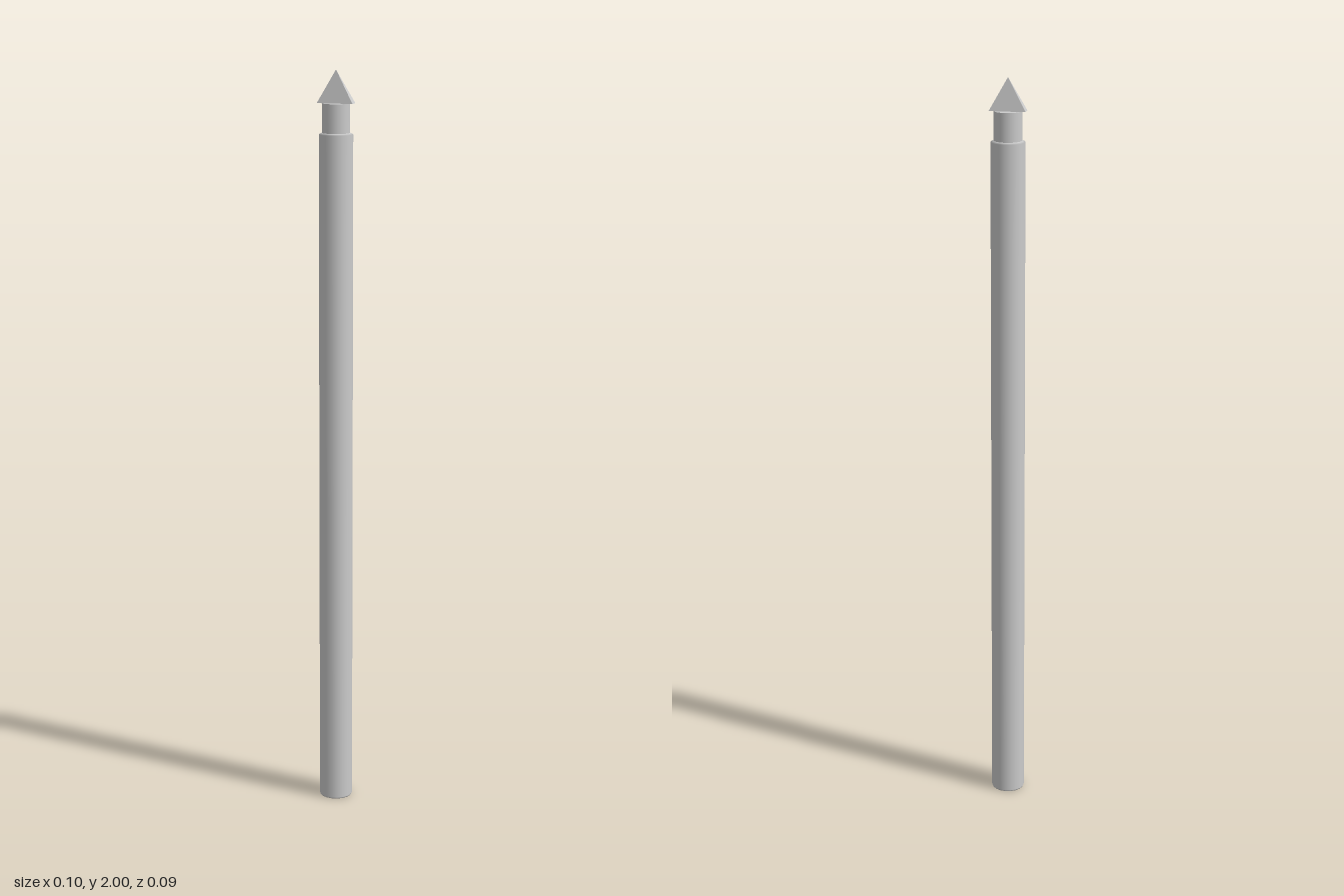
import * as THREE from 'three';

export function createModel() {
  const model = new THREE.Group();
  const smooth = new THREE.MeshStandardMaterial({ color: 0xcccccc });
  const faceted = new THREE.MeshStandardMaterial({ color: 0xcccccc, flatShading: true });

  const add = (name, geometry, material, y) => {
    const mesh = new THREE.Mesh(geometry, material);
    mesh.name = name;
    mesh.position.y = y;
    model.add(mesh);
    return mesh;
  };

  const SIDES = 18;
  const bodyR = 0.045, neckR = 0.037;
  const bodyTop = 1.838, neckTop = 1.914, tipTop = 2;

  // Long round shank, closed underneath, with a narrow shoulder at the top
  const profile = [[0, 0], [bodyR - 0.002, 0], [bodyR, 0.004], [bodyR, bodyTop - 0.004], [neckR, bodyTop]]
    .map(([r, y]) => new THREE.Vector2(r, y));
  add('shank', new THREE.LatheGeometry(profile, SIDES), smooth, 0);

  // Thinner neck that carries the blade
  const neckH = neckTop - bodyTop + 0.01;
  add('neck', new THREE.CylinderGeometry(neckR, neckR, neckH, SIDES), smooth, neckTop - neckH / 2);

  // Flat pointed blade: a four-sided pyramid on a narrow rectangular base
  const tipH = tipTop - neckTop;
  const blade = new THREE.ConeGeometry(Math.SQRT2, tipH, 4);
  blade.rotateY(Math.PI / 4);
  blade.scale(0.048, 1, 0.014);
  add('bladeTip', blade, faceted, neckTop + tipH / 2);

  return model;
}
